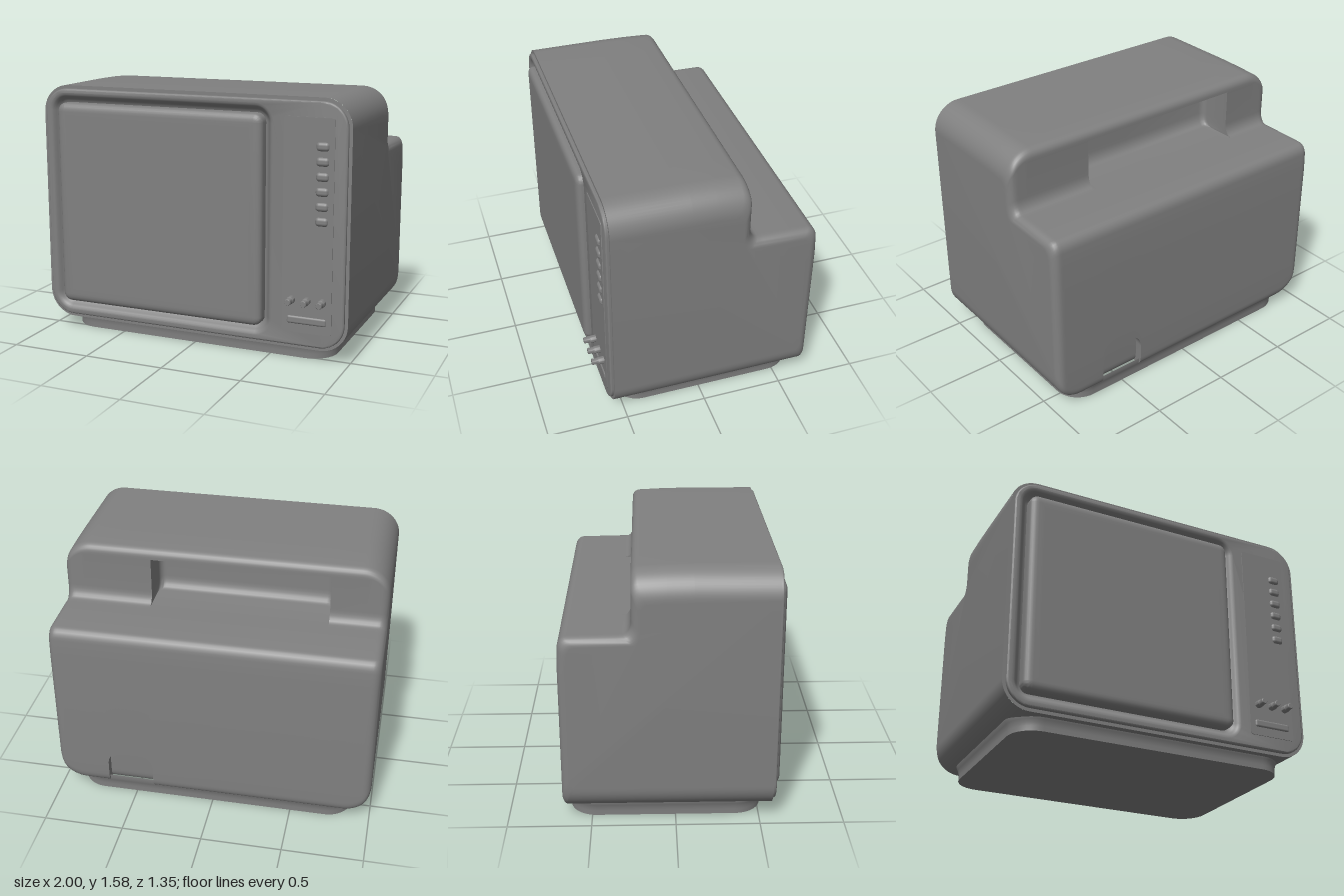
import * as THREE from 'three';
import { toCreasedNormals } from 'three/addons/utils/BufferGeometryUtils.js';
import { RoundedBoxGeometry } from 'three/addons/geometries/RoundedBoxGeometry.js';

const darkGrey = new THREE.MeshStandardMaterial({ color: 0x808080 });

function add(parent, name, geometry, x = 0, y = 0, z = 0) {
  const mesh = new THREE.Mesh(geometry, darkGrey);
  mesh.name = name;
  mesh.position.set(x, y, z);
  parent.add(mesh);
  return mesh;
}

// Rounded rectangle, counter-clockwise; rect = [x0, x1, y0, y1, radius]
function rectPoints([x0, x1, y0, y1, radius], inset = 0) {
  const r = Math.max(radius - inset, 0.002);
  const c = inset + r;
  const corners = [[x1 - c, y1 - c], [x0 + c, y1 - c], [x0 + c, y0 + c], [x1 - c, y0 + c]];
  const pts = [];
  corners.forEach(([cx, cy], k) => {
    for (let i = 0; i <= 10; i++) {
      const a = (k + i / 10) * Math.PI / 2;
      pts.push(new THREE.Vector2(cx + r * Math.cos(a), cy + r * Math.sin(a)));
    }
  });
  return pts;
}

// Triangles of a flat outline, wound as asked
function flatFaces(idx, pts, offset, ccw) {
  for (const [a, b, c] of THREE.ShapeUtils.triangulateShape(pts, [])) {
    const keep = (THREE.ShapeUtils.area([pts[a], pts[b], pts[c]]) > 0) === ccw;
    idx.push(offset + a, offset + (keep ? b : c), offset + (keep ? c : b));
  }
}

function meshFrom(positions, index) {
  const g = new THREE.BufferGeometry();
  g.setAttribute('position', new THREE.Float32BufferAttribute(positions, 3));
  g.setIndex(index);
  return toCreasedNormals(g, 0.7);
}

// Skin through rounded rectangles; levels = [inset, z], cap = 'start' or 'end'
function rectLoft(rect, levels, cap) {
  const pos = [], idx = [];
  const outlines = levels.map(([inset]) => rectPoints(rect, inset));
  const n = outlines[0].length;
  outlines.forEach((pts, l) => {
    pts.forEach((p) => pos.push(p.x, p.y, levels[l][1]));
    if (l === 0) return;
    for (let i = 0; i < n; i++) {
      const a = (l - 1) * n + i, b = (l - 1) * n + (i + 1) % n;
      idx.push(a, b, b + n, a, b + n, a + n);
    }
  });
  if (cap === 'start') flatFaces(idx, outlines[0], 0, false);
  if (cap === 'end') flatFaces(idx, outlines.at(-1), (levels.length - 1) * n, true);
  return meshFrom(pos, idx);
}

// Side profile of the cabinet at a given x, as [z, y] from front top round to front bottom
function cabinetProfile(x) {
  const curve = (u, r) => r * (1 - Math.sqrt(1 - Math.min(1, Math.max(0, u)) ** 2));
  const edge = (r) => curve((Math.abs(x) - 1 + r) / r, r);
  const big = edge(0.17), small = edge(0.05);
  const top = 1.575 - big, bottom = 0.08 + big;
  const wall = -0.25 + small, shelf = 1.2 - small, back = -0.67 + small;
  const inside = Math.min(x + 0.65, 0.45 - x);
  const slot = inside > 0 ? 0.22 - curve(1 - inside / 0.04, 0.04) : 0;
  const notch = x > 0.38 && x < 0.67 ? 0.05 : 0;
  const arch = Math.max(0.33 - curve((Math.abs(x - 0.525) - 0.045) / 0.1, 0.1), bottom + 0.07);
  const slotTop = Math.min(1.5, top - 0.065);

  const p = [[0.575, top], [0.1, top], [-0.05, top - 0.003], [wall + 0.05, top - 0.01]];
  const arc = (cz, cy, rz, ry, a0, a1) => {
    for (let i = 1; i <= 6; i++) {
      const a = (a0 + (a1 - a0) * i / 6) * Math.PI / 180;
      p.push([cz + rz * Math.cos(a), cy + ry * Math.sin(a)]);
    }
  };
  arc(wall + 0.05, top - 0.06, 0.05, 0.05, 90, 180);
  // Handle slot under the top edge
  p.push([wall, slotTop], [wall + slot, slotTop], [wall + slot, shelf + 0.08]);
  arc(wall + slot - 0.05, shelf + 0.08, 0.05, 0.08, 0, -90);
  p.push([-0.33, shelf], [back + 0.06, shelf - 0.005]);
  arc(back + 0.06, shelf - 0.075, 0.055, 0.07, 90, 180);
  p.push([back, shelf - 0.18]);
  // Cable notch at the foot of the back
  p.push([back, arch], [back + notch, arch], [back + notch, bottom + 0.06]);
  arc(back + notch + 0.03, bottom + 0.06, 0.03, 0.06, 180, 270);
  p.push([0.575, bottom]);
  return p;
}

function cabinetGeometry() {
  const xs = [0];
  for (let i = 0; i <= 14; i++) {
    const x = 0.83 + 0.17 * Math.sin(i / 14 * Math.PI / 2);
    xs.push(x, -x);
  }
  for (const x of [-0.65, 0.45, 0.38, 0.67]) xs.push(x - 1e-4, x + 1e-4);
  for (const d of [0.003, 0.01, 0.02, 0.04]) xs.push(-0.65 + d, 0.45 - d);
  for (let i = 1; i < 20; i++) xs.push(0.525 - 0.145 * Math.cos(i / 20 * Math.PI));
  xs.sort((a, b) => a - b);

  const pos = [], idx = [];
  const rings = xs.map(cabinetProfile);
  const n = rings[0].length;
  rings.forEach((ring, i) => {
    ring.forEach(([z, y]) => pos.push(xs[i], y, z));
    if (i === 0) return;
    for (let j = 0; j < n - 1; j++) {
      const a = (i - 1) * n + j, b = i * n + j;
      idx.push(a, b, b + 1, a, b + 1, a + 1);
    }
  });
  // Flat sides
  for (const i of [0, rings.length - 1]) {
    flatFaces(idx, rings[i].map(([z, y]) => new THREE.Vector2(z, y)), i * n, i === 0);
  }
  return meshFrom(pos, idx);
}

export function createModel() {
  const model = new THREE.Group();
  model.name = 'television';

  add(model, 'cabinet', cabinetGeometry());

  // Plinth, flaring up into the cabinet
  const plinth = rectLoft([-0.88, 0.88, -0.52, 0.633, 0.16], [
    [0, 0], [0, 0.03], [-0.002, 0.05], [-0.008, 0.07], [-0.018, 0.095], [-0.018, 0.12],
  ], 'start');
  add(model, 'plinth', plinth.rotateX(-Math.PI / 2));

  // Front rim and bezel around the screen opening
  const opening = [-0.935, 0.52, 0.145, 1.515, 0.1];
  const framed = (rect) => {
    const s = new THREE.Shape(rectPoints(rect));
    s.holes.push(new THREE.Path(rectPoints(opening)));
    return s;
  };
  add(model, 'frontRim', new THREE.ShapeGeometry(framed([-1, 1, 0.08, 1.575, 0.17])), 0, 0, 0.575);
  const bezel = new THREE.ExtrudeGeometry(framed([-0.98, 0.98, 0.1, 1.555, 0.15]), {
    depth: 0.01, bevelThickness: 0.01, bevelSize: 0.01, bevelOffset: -0.01, bevelSegments: 3,
  });
  add(model, 'bezel', toCreasedNormals(bezel, 0.7), 0, 0, 0.575);

  // Sunken surround and pillowed screen
  add(model, 'screenSurround', rectLoft(opening, [
    [-0.014, 0.596], [-0.004, 0.594], [0.006, 0.587], [0.016, 0.574], [0.026, 0.56], [0.038, 0.55], [0.05, 0.546],
  ]));
  add(model, 'screen', rectLoft(opening, [
    [0.047, 0.54], [0.047, 0.59], [0.05, 0.603], [0.057, 0.612], [0.068, 0.619], [0.083, 0.6235], [0.1, 0.625], [0.13, 0.625],
  ], 'end'));

  // Control panel
  const controls = new THREE.Group();
  controls.name = 'controls';
  model.add(controls);
  add(controls, 'controlPanel', rectLoft([0.6, 0.905, 0.185, 1.465, 0.015], [[0, 0.59], [0, 0.6]], 'end'));
  for (let i = 0; i < 6; i++) {
    add(controls, 'channelButton', new RoundedBoxGeometry(0.08, 0.055, 0.05, 5, 0.022), 0.835, 1.3 - i * 0.087, 0.588);
  }
  add(controls, 'slideBar', new RoundedBoxGeometry(0.245, 0.05, 0.036, 4, 0.014), 0.753, 0.262, 0.589);

  // Stepped knobs
  const knobProfile = [[0.023, 0], [0.023, 0.036], [0.019, 0.042], [0.019, 0.074], [0.016, 0.078], [0, 0.078]]
    .map(([r, h]) => new THREE.Vector2(r, h));
  const knob = toCreasedNormals(new THREE.LatheGeometry(knobProfile, 24).rotateX(Math.PI / 2), 0.6);
  for (const x of [0.66, 0.755, 0.85]) add(controls, 'knob', knob, x, 0.385, 0.597);

  return model;
}
